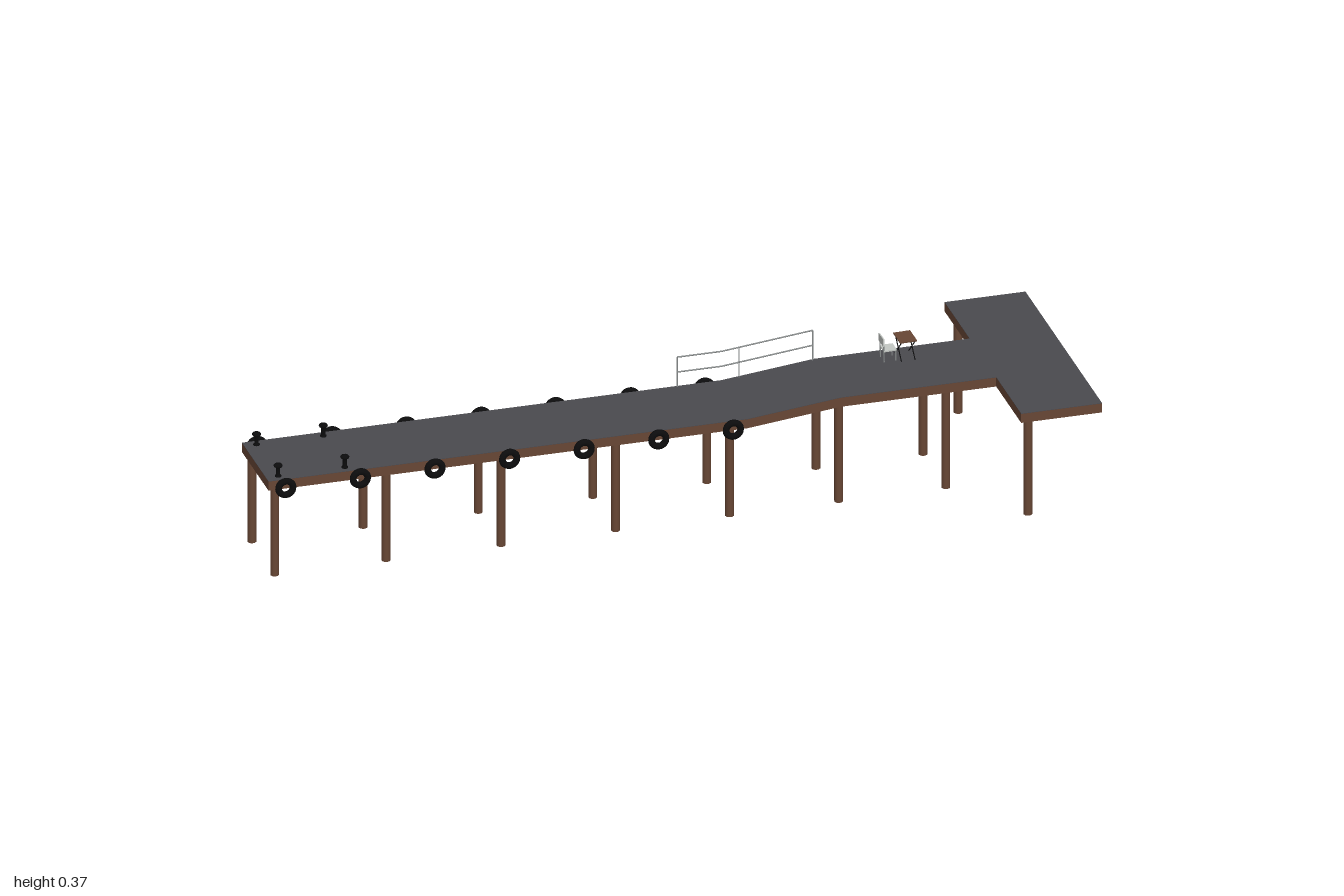
import * as THREE from 'three';

const SLOPE = 0.0306;                       // the pier runs slightly askew
const YAW = -Math.atan(SLOPE);
const axisZ = (x) => -0.06 + SLOPE * (x + 1);
const deckY = (x) => 0.26 + 0.025 * THREE.MathUtils.clamp((x - 0.185) / 0.23, 0, 1);

const mat = (name, color) => {
  const m = new THREE.MeshStandardMaterial({ color });
  m.name = name;
  return m;
};

export function createModel() {
  const wood = mat('brown timber', 0x684735);
  const asphalt = mat('dark grey surface', 0x4a4a4f);
  const rubber = mat('black rubber', 0x0c0c0d);
  const steel = mat('grey steel', 0x8c9090);
  const plastic = mat('pale grey seat', 0xc4c8c4);

  const model = new THREE.Group();
  model.name = 'pier';

  const add = (parent, name, geometry, material, x = 0, y = 0, z = 0) => {
    const mesh = new THREE.Mesh(geometry, material);
    mesh.name = name;
    mesh.position.set(x, y, z);
    parent.add(mesh);
    return mesh;
  };

  const group = (name) => {
    const g = new THREE.Group();
    g.name = name;
    model.add(g);
    return g;
  };

  // Round bar between two points
  const bar = (parent, name, a, b, r, material) => {
    const p = new THREE.Vector3(...a), q = new THREE.Vector3(...b);
    const d = q.clone().sub(p);
    const mesh = add(parent, name, new THREE.CylinderGeometry(r, r, d.length(), 6), material);
    mesh.position.copy(p).add(q).multiplyScalar(0.5);
    mesh.quaternion.setFromUnitVectors(new THREE.Vector3(0, 1, 0), d.normalize());
  };

  // Slab following the deck height, skewed along the pier axis
  const slab = (name, xs, half, top, bottom, material) => {
    const upper = xs.map((x) => new THREE.Vector2(x, deckY(x) + top));
    const lower = xs.map((x) => new THREE.Vector2(x, deckY(x) + bottom)).reverse();
    const geo = new THREE.ExtrudeGeometry(new THREE.Shape([...lower, ...upper]),
      { depth: 2 * half, bevelEnabled: false });
    const p = geo.attributes.position;
    for (let i = 0; i < p.count; i++) p.setZ(i, p.getZ(i) - half + axisZ(p.getX(i)));
    geo.computeVertexNormals();
    add(model, name, geo, material);
  };

  // Walkway with ramp, and the cross head at its end
  const walk = [-1, 0.185, 0.415, 0.8], head = [0.8, 1];
  slab('walkwayBeam', walk, 0.105, -0.001, -0.025, wood);
  slab('walkwaySurface', walk, 0.105, 0, -0.001, asphalt);
  slab('headBeam', head, 0.3025, -0.001, -0.025, wood);
  slab('headSurface', head, 0.3025, 0, -0.001, asphalt);

  // Piles
  const piles = group('piles');
  const pilePair = (x, offset) => {
    const h = deckY(x) - 0.02;
    for (const s of [-1, 1]) {
      add(piles, 'pile', new THREE.CylinderGeometry(0.0108, 0.0108, h, 12), wood,
        x, h / 2, axisZ(x) + s * offset);
    }
  };
  for (const x of [-0.98, -0.705, -0.42, -0.137, 0.145, 0.415, 0.68]) pilePair(x, 0.09);
  pilePair(0.825, 0.276);

  // Tyre fenders along both sides
  const fenders = group('tyreFenders');
  const tyre = new THREE.TorusGeometry(0.018, 0.0082, 10, 24);
  for (let i = 0; i < 7; i++) {
    const x = -0.96 + i * 0.1845;
    for (const s of [-1, 1]) {
      add(fenders, 'tyre', tyre, rubber, x, 0.241, axisZ(x) + s * 0.114).rotation.y = YAW;
    }
  }

  // Mooring bollards
  const bollards = group('bollards');
  const bollard = new THREE.LatheGeometry([
    [0, 0], [0.008, 0], [0.008, 0.002], [0.005, 0.004], [0.005, 0.023],
    [0.01, 0.026], [0.011, 0.029], [0.009, 0.032], [0, 0.033],
  ].map(([r, y]) => new THREE.Vector2(r, y)), 14);
  for (const x of [-0.97, -0.805]) {
    for (const s of [-1, 1]) add(bollards, 'bollard', bollard, rubber, x, 0.26, axisZ(x) + s * 0.085);
  }

  // Handrail beside the ramp
  const railing = group('railing');
  const railPoint = (x, h) => [x, deckY(x) + h, axisZ(x) - 0.1];
  for (const x of [0.075, 0.228, 0.41]) {
    bar(railing, 'railPost', railPoint(x, 0), railPoint(x, 0.08), 0.0018, steel);
  }
  for (const h of [0.04, 0.08]) {
    bar(railing, 'rail', railPoint(0.075, h), railPoint(0.185, h), 0.0018, steel);
    bar(railing, 'rail', railPoint(0.185, h), railPoint(0.41, h), 0.0018, steel);
  }

  // Folding table with crossed legs
  const table = group('table');
  const floor = 0.285, zc = -0.069;
  add(table, 'tableTop', new THREE.BoxGeometry(0.042, 0.003, 0.055), wood, 0.626, 0.3365, zc);
  for (const x of [0.609, 0.643]) {
    for (const s of [-1, 1]) {
      bar(table, 'tableLeg', [x, floor, zc + s * 0.025], [x, 0.335, zc - s * 0.025], 0.0013, rubber);
    }
  }

  // Chair facing the table
  const chair = group('chair');
  add(chair, 'chairSeat', new THREE.BoxGeometry(0.032, 0.003, 0.034), plastic, 0.584, 0.314, zc);
  add(chair, 'chairBack', new THREE.BoxGeometry(0.003, 0.02, 0.035), plastic, 0.567, 0.338, zc);
  for (const s of [-1, 1]) {
    const z = zc + s * 0.0145;
    bar(chair, 'chairBackLeg', [0.569, floor, z], [0.567, 0.346, z], 0.0016, steel);
    bar(chair, 'chairFrontLeg', [0.598, floor, z], [0.598, 0.313, z], 0.0016, steel);
  }

  return model;
}
